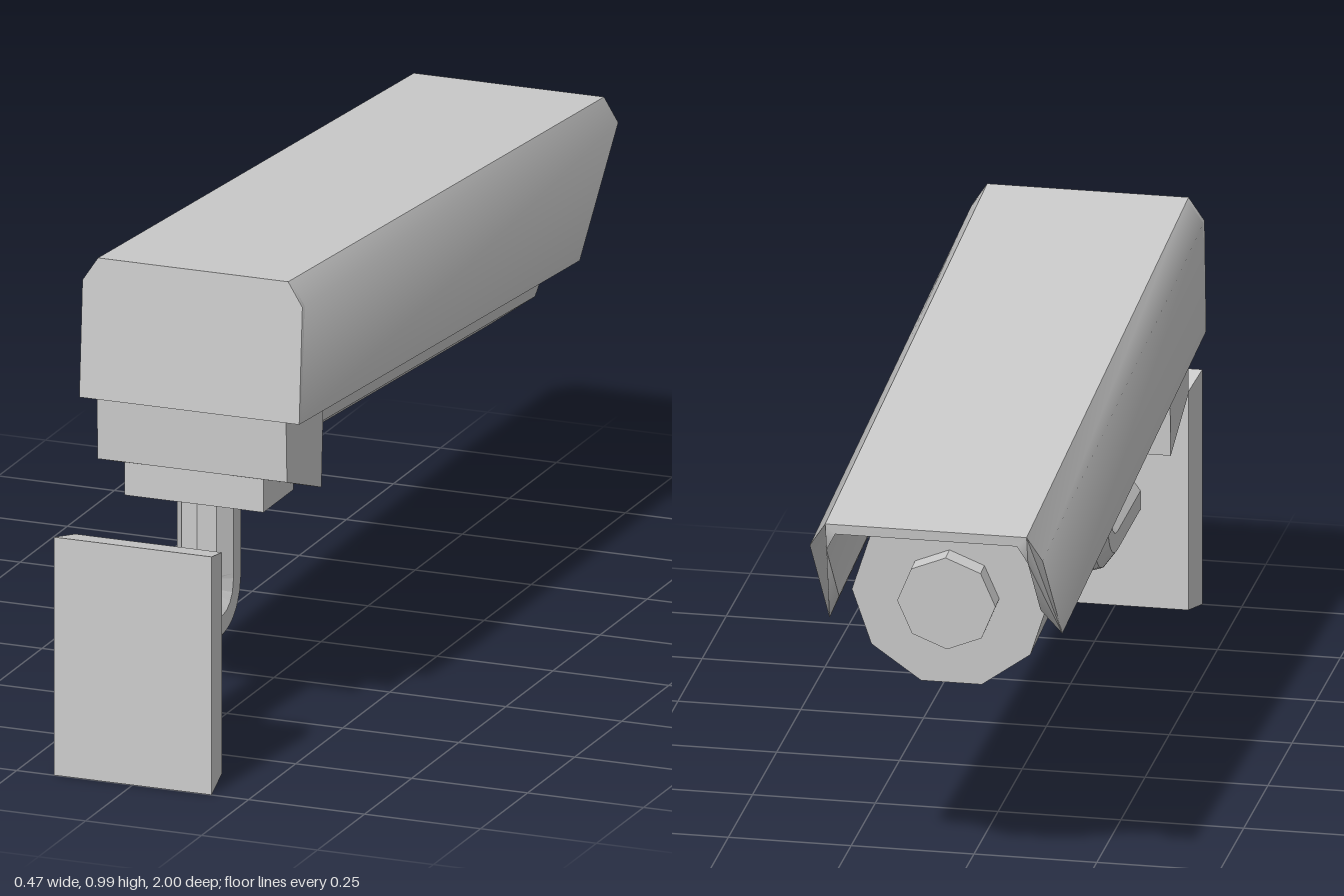
import * as THREE from 'three';
import { toCreasedNormals } from 'three/addons/utils/BufferGeometryUtils.js';

const flat = new THREE.MeshStandardMaterial({ color: 0xcccccc, flatShading: true, side: THREE.DoubleSide });
const smooth = new THREE.MeshStandardMaterial({ color: 0xcccccc, side: THREE.DoubleSide });

function part(name, geometry, material = flat) {
  const mesh = new THREE.Mesh(geometry, material);
  mesh.name = name;
  return mesh;
}

const shapeOf = (points) => new THREE.Shape(points.map(([x, y]) => new THREE.Vector2(x, y)));
const mirrored = (half) => [...half, ...half.map(([x, y]) => [-x, y]).reverse()];
const extrude = (points, depth) => new THREE.ExtrudeGeometry(shapeOf(points), { depth, bevelEnabled: false });

// Side profile given as [z, y], extruded across the width
function sideProfile(points, halfWidth) {
  return extrude(points, halfWidth * 2).translate(0, 0, -halfWidth).rotateY(-Math.PI / 2);
}

// Prism along z from z0 to z1
function prism(radius, sides, z0, z1, y, turn = 0) {
  return new THREE.CylinderGeometry(radius, radius, z1 - z0, sides, 1, false, turn)
    .rotateX(Math.PI / 2).translate(0, y, (z0 + z1) / 2);
}

// Sunshade: chamfered channel whose open end is cut back towards the bottom
function hoodShell() {
  const outer = [[0.237, 0.645], [0.237, 0.887], [0.205, 0.936]];
  const inner = [[0.185, 0.915], [0.205, 0.875], [0.205, 0.72]];
  const outline = [...mirrored(outer), ...mirrored(inner.slice().reverse()).reverse()];
  const front = -0.935, back = 0.735;
  const geometry = extrude(outline, back - front).translate(0, 0, front);
  const p = geometry.attributes.position;
  for (let i = 0; i < p.count; i++) {
    if (p.getZ(i) > 0) continue;
    const t = THREE.MathUtils.clamp((p.getY(i) - 0.645) / 0.242, 0, 1);
    p.setZ(i, THREE.MathUtils.lerp(-0.747, front, t));
  }
  return toCreasedNormals(geometry, 0.7);
}

// Wall plate: box narrowed on the side away from the wall
function plateGeometry() {
  const geometry = new THREE.BoxGeometry(0.34, 0.5, 0.085);
  const p = geometry.attributes.position;
  for (let i = 0; i < p.count; i++) {
    if (p.getZ(i) < 0) p.setXY(i, p.getX(i) * 0.93, p.getY(i) * 0.93);
  }
  return geometry.translate(0, 0.25, 0.9575);
}

// Bent arm from the plate up to the clamp
function armGeometry() {
  const v = (y, z) => new THREE.Vector3(0, y, z);
  const bend = [];
  for (let i = 0; i <= 4; i++) {
    const a = (i / 4) * Math.PI / 2;
    bend.push(v(0.322 - 0.077 * Math.cos(a), 0.672 - 0.077 * Math.sin(a)));
  }
  const points = [v(0.245, 0.92), ...bend, v(0.52, 0.595)];
  const path = new THREE.CurvePath();
  for (let i = 1; i < points.length; i++) path.add(new THREE.LineCurve3(points[i - 1], points[i]));
  return new THREE.TubeGeometry(path, 40, 0.064, 10);
}

export function createModel() {
  const model = new THREE.Group();
  model.name = 'securityCamera';

  // Camera head, tilted slightly downward
  const head = new THREE.Group();
  head.name = 'cameraHead';
  head.rotation.x = -0.0695;
  const backOutline = mirrored([[0.237, 0.645], [0.237, 0.887], [0.205, 0.936]]);
  head.add(
    part('hood', hoodShell(), smooth),
    part('hoodBackPanel', toCreasedNormals(extrude(backOutline, 0.012).translate(0, 0, 0.734), 0.7), smooth),
    part('cameraBody', prism(0.2, 10, -0.7, 0.7, 0.69, Math.PI / 10)),
    part('lens', prism(0.1, 8, -0.74, -0.69, 0.69)),
  );
  model.add(head);

  // Mount
  model.add(
    part('clamp', sideProfile([[0.69, 0.75], [0.683, 0.565], [0.5, 0.5], [0.487, 0.72]], 0.204)),
    part('clampFoot', sideProfile([[0.675, 0.575], [0.675, 0.493], [0.515, 0.493], [0.515, 0.54]], 0.15)),
    part('arm', armGeometry()),
    part('wallPlate', plateGeometry()),
  );
  return model;
}
